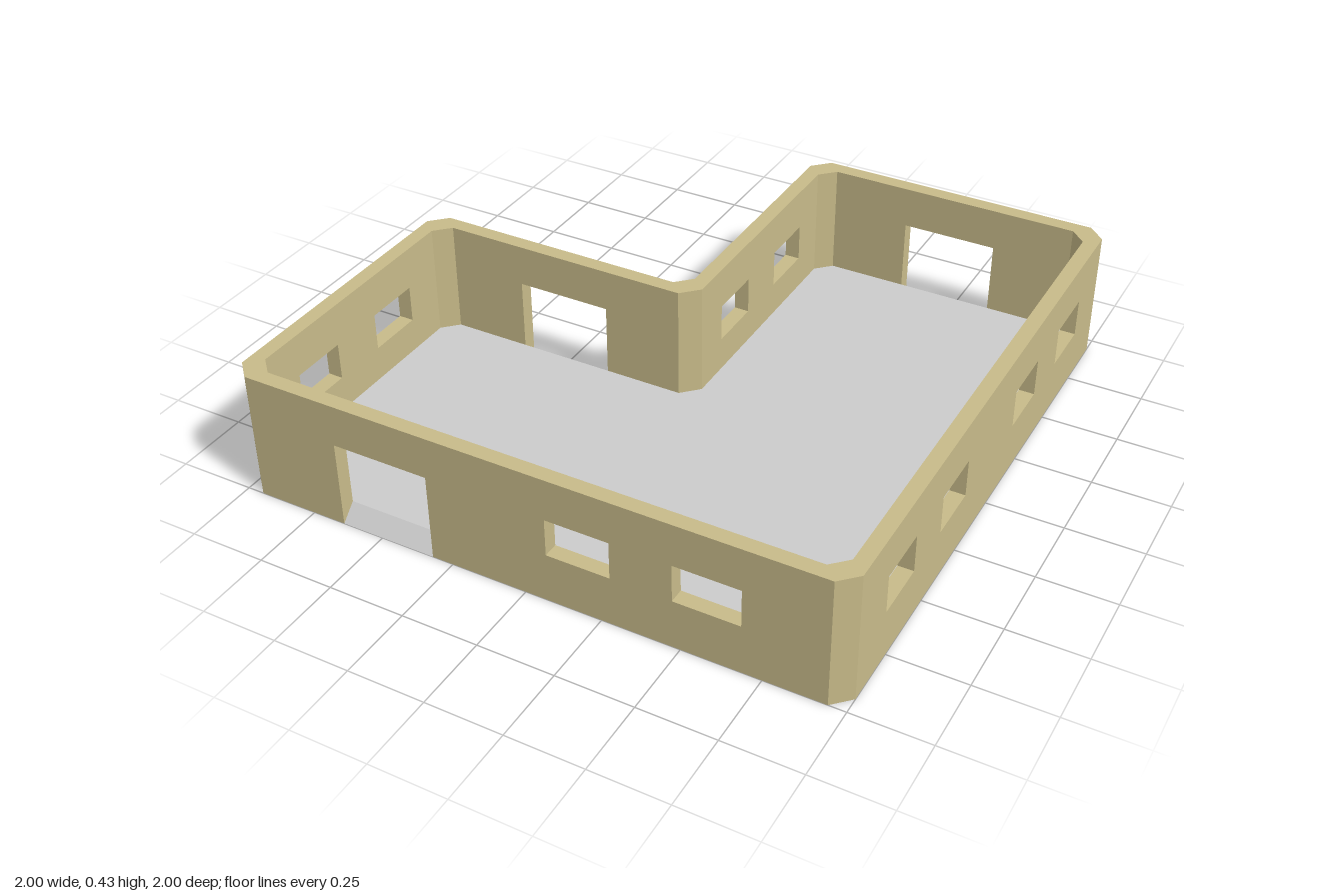
import * as THREE from 'three';

const H = 0.43, T = 0.05, FLOOR = 0.05, HEAD = 0.29, SILL = 0.165;
const ARM = 0.1, CUT = 0.055;

const wallMat = new THREE.MeshStandardMaterial({ color: 0xc8bb8a });
const floorMat = new THREE.MeshStandardMaterial({ color: 0xcccccc, side: THREE.DoubleSide });

const polygon = (pts) => new THREE.Shape(pts.map(([x, y]) => new THREE.Vector2(x, y)));

function mesh(name, geometry, material) {
  const m = new THREE.Mesh(geometry, material);
  m.name = name;
  return m;
}

// Straight wall from a to b along x or z, with window holes and an optional door notch
function wall({ name, axis, a, b, offset, windows = [], door }) {
  const notch = door ? [[door[0], 0], [door[0], HEAD], [door[1], HEAD], [door[1], 0]] : [];
  const shape = polygon([[a, 0], ...notch, [b, 0], [b, H], [a, H]]);
  for (const [l, r] of windows) {
    shape.holes.push(polygon([[l, SILL], [l, HEAD], [r, HEAD], [r, SILL]]));
  }
  const m = mesh(name, new THREE.ExtrudeGeometry(shape, { depth: T, bevelEnabled: false }), wallMat);
  if (axis === 'z') {
    m.rotation.y = -Math.PI / 2;
    m.position.x = offset + T;
  } else {
    m.position.z = offset;
  }
  return m;
}

// Chamfered corner post; (x, z) is the unclipped corner, sx and sz point towards it
function corner(x, z, sx, sz) {
  const plan = [[ARM, 0], [CUT, 0], [0, CUT], [0, ARM], [T, ARM], [ARM, T]]
    .map(([u, v]) => [x - sx * u, -(z - sz * v)]);
  const geo = new THREE.ExtrudeGeometry(polygon(plan), { depth: H, bevelEnabled: false });
  return mesh('cornerWall', geo.rotateX(-Math.PI / 2), wallMat);
}

// Sloped threshold rising from the ground outside to the floor inside
function ramp([l, r], z, facing) {
  const geo = new THREE.PlaneGeometry(r - l, Math.hypot(T, FLOOR));
  geo.rotateX(-Math.PI / 4);
  if (facing < 0) geo.rotateY(Math.PI);
  const m = mesh('doorRamp', geo, floorMat);
  m.position.set((l + r) / 2, FLOOR / 2, z);
  return m;
}

export function createModel() {
  const group = new THREE.Group();
  group.name = 'building';

  const sideDoor = [-0.64, -0.32], backDoor = [0.315, 0.635];
  const nearWindows = [[0.195, 0.385], [0.575, 0.765]];
  const farWindows = [[-0.765, -0.57], [-0.38, -0.19]];

  // Walls
  const walls = [
    { name: 'frontWall', axis: 'x', a: -0.9, b: 0.9, offset: 0.95, door: sideDoor, windows: [[0.075, 0.28], [0.475, 0.685]] },
    { name: 'leftWall', axis: 'z', a: -0.9, b: 0.9, offset: 0.95, windows: [...farWindows, ...nearWindows] },
    { name: 'backWall', axis: 'x', a: 0.05, b: 0.9, offset: -1, door: backDoor },
    { name: 'wingSideWall', axis: 'z', a: -0.9, b: -0.1, offset: -0.05, windows: farWindows },
    { name: 'wingBackWall', axis: 'x', a: -0.9, b: -0.1, offset: -0.05, door: sideDoor },
    { name: 'rightWall', axis: 'z', a: 0.05, b: 0.9, offset: -1, windows: nearWindows },
  ];
  for (const w of walls) group.add(wall(w));

  // Corners, including the inward one at the centre
  const corners = [[-1, 1, -1, 1], [1, 1, 1, 1], [1, -1, 1, -1], [-0.05, -1, -1, -1], [0, 0, 1, 1], [-1, -0.05, -1, -1]];
  for (const c of corners) group.add(corner(...c));

  // Floor
  const plan = [
    [-0.95, 0.05], [-0.9, 0], [-0.055, 0], [0, -0.055], [0, -0.9], [0.05, -0.95],
    [0.9, -0.95], [0.95, -0.9], [0.95, 0.9], [0.9, 0.95], [-0.9, 0.95], [-0.95, 0.9],
  ].map(([x, z]) => [x, -z]);
  const floor = mesh('floor', new THREE.ShapeGeometry(polygon(plan)).rotateX(-Math.PI / 2), floorMat);
  floor.position.y = FLOOR;
  group.add(floor);

  // Door ramps
  group.add(ramp(sideDoor, 0.975, 1), ramp(sideDoor, -0.025, -1), ramp(backDoor, -0.975, -1));
  return group;
}
